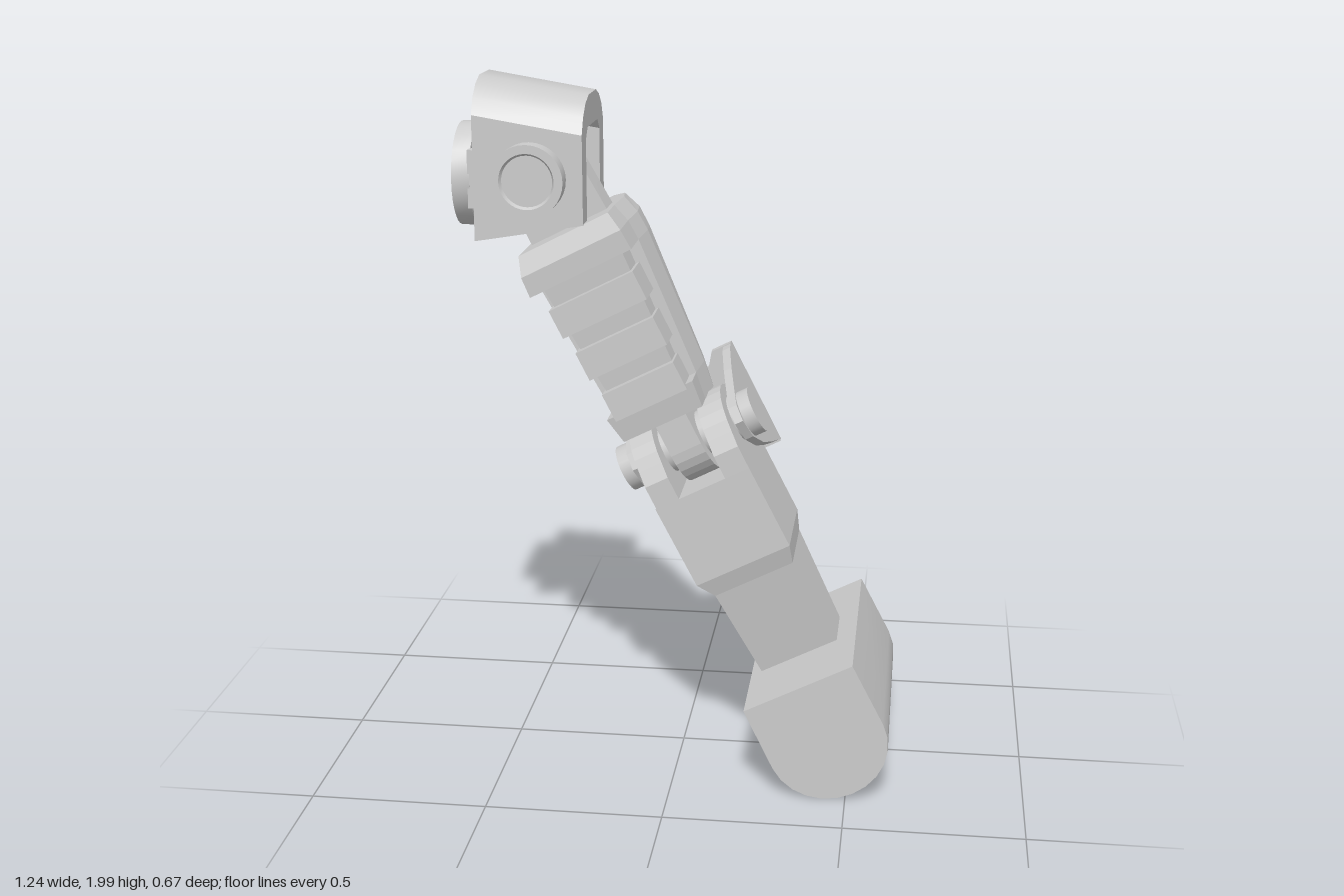
import * as THREE from 'three';
import { toCreasedNormals } from 'three/addons/utils/BufferGeometryUtils.js';

const material = new THREE.MeshStandardMaterial({ color: 0xcccccc, side: THREE.DoubleSide });

function add(parent, name, geometry) {
  const mesh = new THREE.Mesh(geometry, material);
  mesh.name = name;
  parent.add(mesh);
  return mesh;
}

const box = (x0, x1, y0, y1, z0, z1) =>
  new THREE.BoxGeometry(x1 - x0, y1 - y0, z1 - z0).translate((x0 + x1) / 2, (y0 + y1) / 2, (z0 + z1) / 2);

const shapeOf = (pts) => new THREE.Shape(pts.map(([a, b]) => new THREE.Vector2(a, b)));

// Outline in x,y pushed along z
function slabZ(pts, z0, z1) {
  const geo = new THREE.ExtrudeGeometry(shapeOf(pts), { depth: z1 - z0, bevelEnabled: false });
  return toCreasedNormals(geo.translate(0, 0, z0), 0.6);
}

// Outline in z,y pushed along x
function slabX(pts, x0, x1) {
  const geo = new THREE.ExtrudeGeometry(shapeOf(pts.map(([z, y]) => [-z, y])), { depth: x1 - x0, bevelEnabled: false });
  return geo.rotateY(Math.PI / 2).translate(x0, 0, 0);
}

const arc = (cx, cy, rx, ry, a0, a1, n) =>
  Array.from({ length: n + 1 }, (_, i) => {
    const a = a0 + ((a1 - a0) * i) / n;
    return [cx + rx * Math.cos(a), cy + ry * Math.sin(a)];
  });

// Skin over rings of [x, z] points, listed from bottom to top
function loft(sections) {
  const n = sections[0].ring.length;
  const pos = sections.flatMap(({ y, ring }) => ring.flatMap(([x, z]) => [x, y, z]));
  const index = [];
  for (let s = 0; s < sections.length - 1; s++) {
    for (let j = 0; j < n; j++) {
      const a = s * n + j, b = s * n + ((j + 1) % n);
      index.push(a, b, b + n, a, b + n, a + n);
    }
  }
  const top = (sections.length - 1) * n;
  for (let j = 1; j < n - 1; j++) index.push(0, j + 1, j, top, top + j, top + j + 1);
  const geo = new THREE.BufferGeometry();
  geo.setAttribute('position', new THREE.Float32BufferAttribute(pos, 3));
  geo.setIndex(index);
  const flat = geo.toNonIndexed();
  flat.computeVertexNormals();
  return flat;
}

// Shoulder hood with its side discs and back ring
function buildShoulder() {
  const g = new THREE.Group();
  g.name = 'shoulder';
  const half = [[0.175, 1.555], [0.175, 1.9], [0.15, 1.945], [0.11, 1.977], [0.06, 1.995]];
  const outer = [...half, ...half.map(([z, y]) => [-z, y]).reverse()];
  const inner = [[-0.11, 1.555], [-0.11, 1.88], [-0.08, 1.91], [0.08, 1.91], [0.11, 1.88], [0.11, 1.555]];
  const hood = slabX([...outer, ...inner], -0.557, -0.255);
  // Roof slopes down and the lower edge rises towards +x
  const p = hood.attributes.position;
  for (let i = 0; i < p.count; i++) {
    const t = (p.getX(i) + 0.557) / 0.302;
    p.setY(i, p.getY(i) + t * (p.getY(i) > 1.7 ? -0.05 : 0.05));
  }
  add(g, 'shoulderHood', toCreasedNormals(hood, 0.5));

  const discProfile = [[0, 0], [0.1, 0], [0.1, 0.05], [0.076, 0.05], [0.07, 0.04], [0, 0.04]]
    .map(([r, h]) => new THREE.Vector2(r, h));
  for (const s of [1, -1]) {
    const disc = add(g, 'sideDisc', toCreasedNormals(new THREE.LatheGeometry(discProfile, 32), 0.5));
    disc.rotation.x = (s * Math.PI) / 2;
    disc.position.set(-0.4, 1.73, s * 0.175);
    add(g, 'ringTab', box(-0.58, -0.55, 1.64, 1.8, s * 0.125 - 0.018, s * 0.125 + 0.018));
  }
  const ringProfile = [[0.122, 0], [0.145, 0], [0.145, 0.05], [0.122, 0.05], [0.122, 0]]
    .map(([r, h]) => new THREE.Vector2(r, h));
  const ring = add(g, 'backRing', toCreasedNormals(new THREE.LatheGeometry(ringProfile, 32), 0.5));
  ring.rotation.z = Math.PI / 2;
  ring.position.set(-0.575, 1.715, 0);
  return g;
}

// Upper arm: shoulder lug, stepped core and front ribs
function buildUpperArm() {
  const g = new THREE.Group();
  g.name = 'upperArm';
  add(g, 'shoulderLug', slabZ([[-0.115, -0.2], [0.125, -0.2], ...arc(0, 0, 0.115, 0.115, 0, Math.PI, 12)], -0.05, 0.05));
  const hub = add(g, 'shoulderHub', new THREE.CylinderGeometry(0.075, 0.075, 0.2, 24));
  hub.rotation.x = Math.PI / 2;
  const axle = add(g, 'shoulderAxle', new THREE.CylinderGeometry(0.045, 0.045, 0.35, 20));
  axle.rotation.x = Math.PI / 2;

  const section = (y, xa, xb, zb, zf, inset, c = 0.05, zs = 0.05) => ({
    y,
    ring: [[xb, zs], [xb + 0.012, -0.06], [xb, zb + c + 0.03], [xb - c, zb], [xa + c, zb], [xa, zb + c], [xa, zs],
      [xa + inset, zs], [xa + inset, zf], [xb - inset, zf], [xb - inset, zs]],
  });
  add(g, 'upperArmCore', loft([
    section(-0.78, -0.122, 0.127, -0.205, 0.13, 0),
    section(-0.7, -0.133, 0.138, -0.212, 0.143, 0),
    section(-0.7, -0.133, 0.138, -0.212, 0.115, 0.035),
    section(-0.29, -0.152, 0.165, -0.243, 0.15, 0.035),
    section(-0.29, -0.152, 0.165, -0.243, 0.187, 0),
    section(-0.23, -0.147, 0.163, -0.25, 0.19, 0),
    section(-0.175, -0.132, 0.148, -0.225, 0.165, 0),
  ]));
  for (let i = 0; i < 3; i++) {
    const y = -0.39 - i * 0.14;
    add(g, 'frontRib', box(-0.125 + i * 0.008, 0.138 - i * 0.011, y - 0.043, y + 0.043, 0.05, 0.18 - i * 0.013));
  }
  // Tongue of the elbow hinge
  add(g, 'elbowTongue', slabX([[-0.11, -0.74], ...arc(0, -0.88, 0.11, 0.11, Math.PI, 2 * Math.PI, 12), [0.11, -0.74]], -0.025, 0.07));
  return g;
}

// Forearm with hinge lugs, narrowing towards the end block
function buildForearm() {
  const g = new THREE.Group();
  g.name = 'forearm';
  const section = (y, xa, xb, z) => ({ y, ring: [[xb, z], [xb, -z], [xa, -z], [xa, z]] });
  add(g, 'forearmBody', loft([
    section(-1.6, -0.088, 0.155, 0.085),
    section(-1.3, -0.092, 0.155, 0.14),
    section(-1.245, -0.122, 0.174, 0.158),
    section(-0.99, -0.125, 0.172, 0.158),
  ]));
  const lug = [[0.158, -1.0], [0.158, -0.92], ...arc(0, -0.91, 0.145, 0.135, 0.25, Math.PI - 0.25, 10), [-0.158, -0.92], [-0.158, -1.0]];
  add(g, 'elbowLug', slabX(lug, -0.122, -0.05));
  add(g, 'elbowLug', slabX(lug, 0.097, 0.172));
  return g;
}

// Elbow guard: notched back plate, two side arms and the pin
function buildElbowGuard() {
  const g = new THREE.Group();
  g.name = 'elbowGuard';
  add(g, 'guardPlate', slabZ([
    [-0.15, -0.72], [-0.15, -1.055], [-0.085, -1.055], [-0.055, -1.015], [0.11, -1.015], [0.14, -1.055],
    [0.203, -1.055], [0.203, -0.72], [0.14, -0.72], [0.11, -0.76], [-0.055, -0.76], [-0.085, -0.72],
  ], -0.275, -0.247));
  const side = [[-0.27, -0.72], [-0.21, -0.725], [-0.1, -0.76], [0, -0.8], [0.07, -0.83], [0.09, -0.875],
    [0.06, -0.935], [-0.03, -0.985], [-0.14, -1.02], [-0.27, -1.055]];
  add(g, 'guardArm', slabX(side, -0.15, -0.125));
  add(g, 'guardArm', slabX(side, 0.178, 0.203));
  const pin = add(g, 'elbowPin', new THREE.CylinderGeometry(0.068, 0.068, 0.425, 24));
  pin.rotation.z = Math.PI / 2;
  pin.position.set(0.026, -0.88, 0.005);
  return g;
}

export function createModel() {
  const model = new THREE.Group();
  model.name = 'jointedArm';
  model.add(buildShoulder());

  // Everything below the shoulder hangs from its pivot at a slant
  const limb = new THREE.Group();
  limb.name = 'limb';
  limb.position.set(-0.4, 1.73, 0);
  limb.rotation.z = THREE.MathUtils.degToRad(27);
  limb.add(buildUpperArm(), buildForearm(), buildElbowGuard());

  // Wide end block with a rounded underside
  add(limb, 'endBlock', slabZ(
    [[0.217, -1.583], [-0.122, -1.583], ...arc(0.047, -1.775, 0.172, 0.16, Math.PI, 2 * Math.PI, 12)], -0.335, 0.335));
  model.add(limb);
  return model;
}
